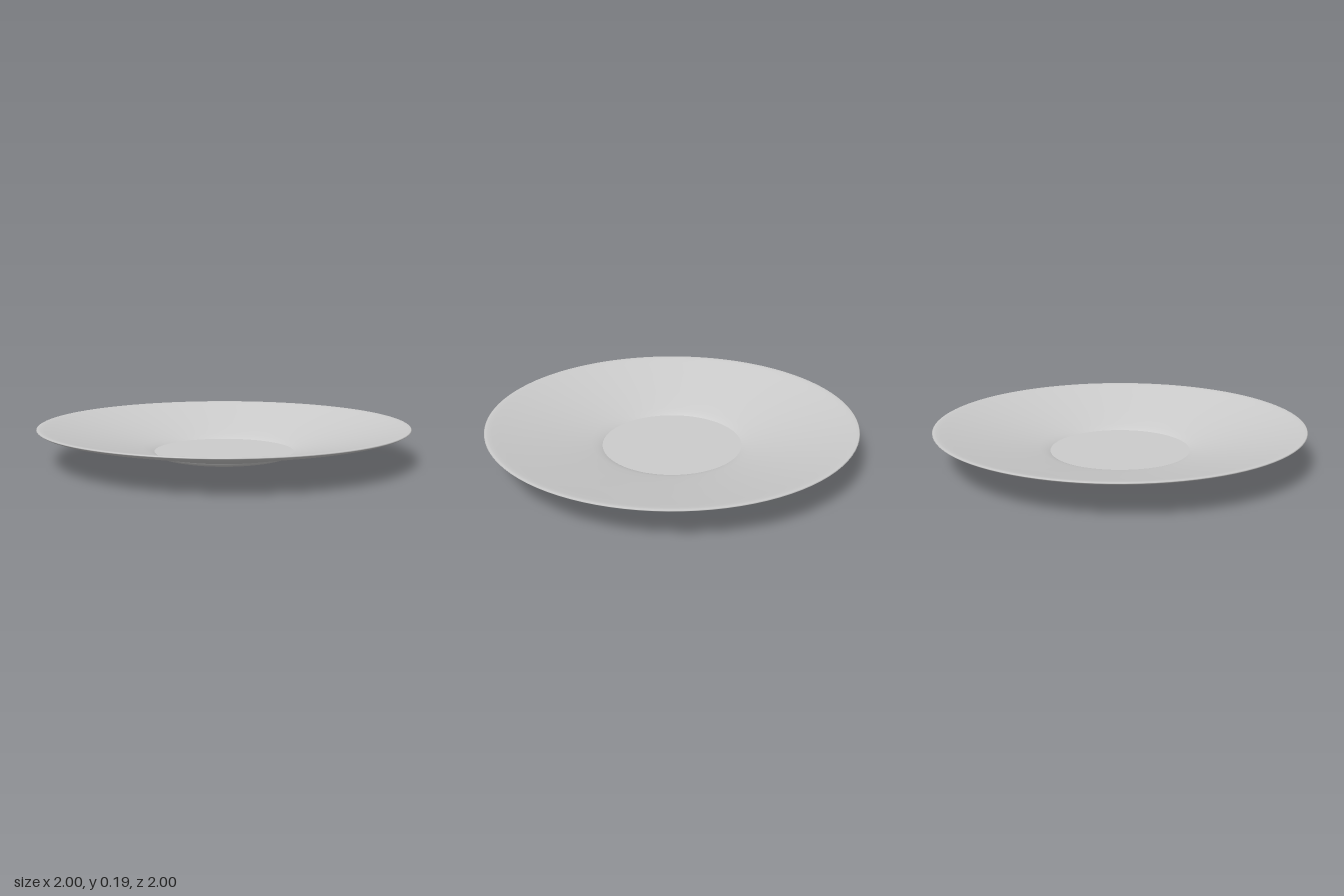
import * as THREE from 'three';

const SEGMENTS = 96;
const material = new THREE.MeshStandardMaterial({ color: 0xcccccc, side: THREE.DoubleSide });

// Turned part from [radius, height] pairs
function turned(name, profile) {
  const points = profile.map(([r, y]) => new THREE.Vector2(r, y));
  const mesh = new THREE.Mesh(new THREE.LatheGeometry(points, SEGMENTS), material);
  mesh.name = name;
  return mesh;
}

export function createModel() {
  const saucer = new THREE.Group();
  saucer.name = 'saucer';

  // Shallow foot with a rounded edge
  saucer.add(turned('foot', [
    [0, 0], [0.05, 0.006], [0.15, 0.009], [0.28, 0.012], [0.33, 0.016],
    [0.36, 0.023], [0.374, 0.032], [0.38, 0.042],
  ]));

  // Flared dish: underside, rolled rim, then the inner slope down to the well
  saucer.add(turned('dish', [
    [0.38, 0.042], [0.42, 0.048], [0.6, 0.088], [0.8, 0.131], [0.92, 0.157],
    [0.96, 0.167], [0.985, 0.176], [0.997, 0.183], [1, 0.187], [0.995, 0.19],
    [0.98, 0.189], [0.96, 0.185], [0.92, 0.176], [0.8, 0.148], [0.6, 0.103],
    [0.5, 0.079], [0.44, 0.064], [0.41, 0.055], [0.39, 0.047], [0.38, 0.042],
  ]));

  // Flat round well where a cup sits
  saucer.add(turned('well', [[0.38, 0.042], [0, 0.042]]));

  return saucer;
}
